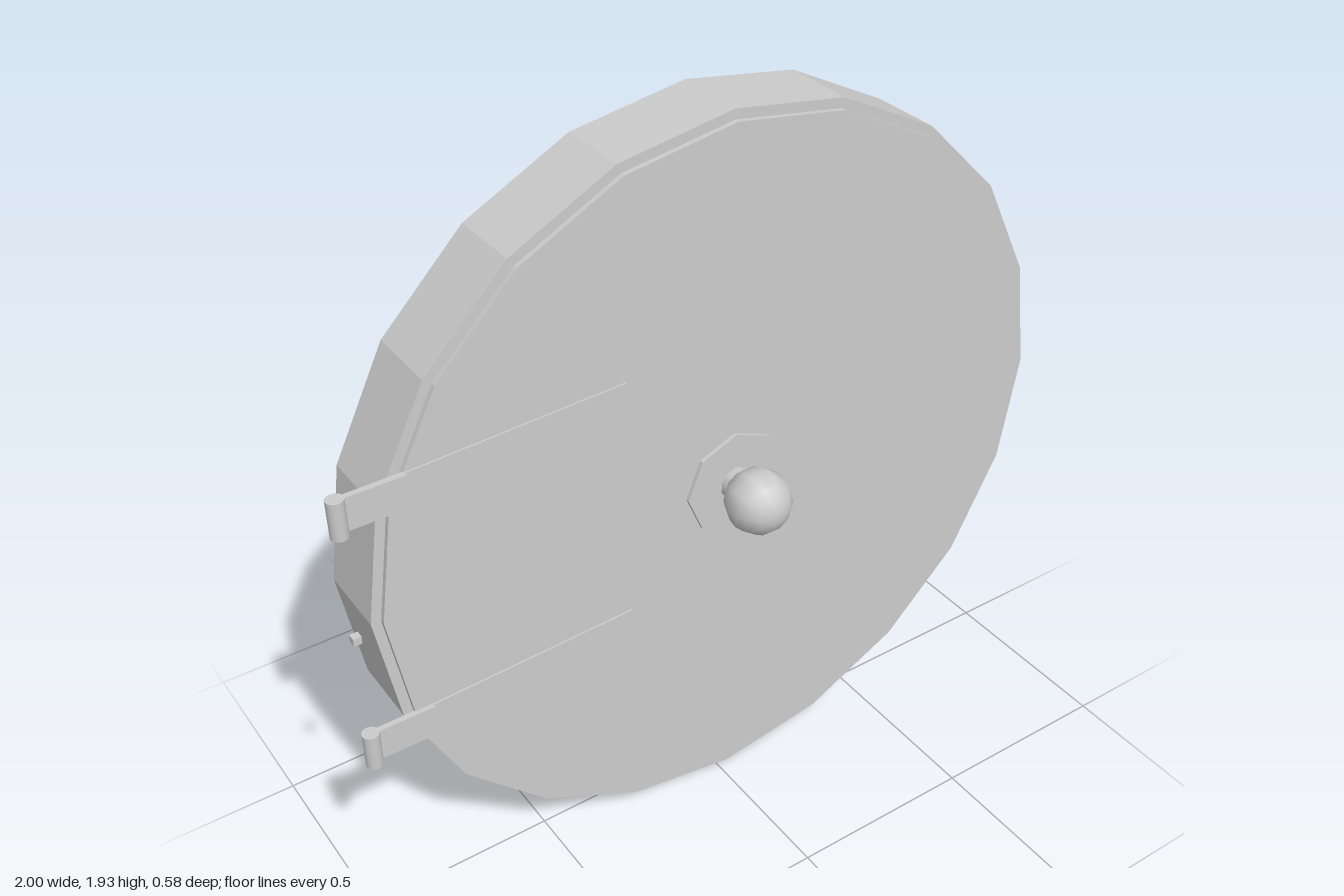
import * as THREE from 'three';

const CX = 0.033, CY = 0.97;

export function createModel() {
  const group = new THREE.Group();
  const flat = new THREE.MeshStandardMaterial({ color: 0xcccccc, flatShading: true });
  const smooth = new THREE.MeshStandardMaterial({ color: 0xcccccc });

  const add = (name, geometry, x, y, z, material = flat) => {
    const mesh = new THREE.Mesh(geometry, material);
    mesh.name = name;
    mesh.position.set(x, y, z);
    group.add(mesh);
    return mesh;
  };

  // Disc around the door's centre, spanning z0..z1, with a corner at the top
  const disc = (name, radius, sides, z0, z1, material) => {
    const g = new THREE.CylinderGeometry(radius, radius, z1 - z0, sides);
    g.rotateX(Math.PI / 2);
    return add(name, g, CX, CY, (z0 + z1) / 2, material);
  };

  // Door slab with slightly smaller raised panels on both faces
  disc('doorSlab', 0.965, 20, -0.101, 0.09);
  disc('frontPanel', 0.94, 20, 0, 0.103);
  disc('backPanel', 0.94, 20, -0.105, 0);

  // Knob, neck and octagonal plate on each side
  for (const [side, s] of [['front', 1], ['back', -1]]) {
    disc(side + 'KnobPlate', 0.14, 8, Math.min(0, s * 0.113), Math.max(0, s * 0.113));
    disc(side + 'KnobNeck', 0.045, 10, Math.min(s * 0.1, s * 0.17), Math.max(s * 0.1, s * 0.17), smooth);
    const ball = new THREE.SphereGeometry(0.084, 10, 10);
    ball.rotateX(Math.PI / 2);
    add(side + 'Knob', ball, CX, CY, s * 0.204, smooth);
  }

  // Strap outline: widens away from the hinge and ends in a point
  const strap = new THREE.Shape([
    [-0.97, -0.042], [-0.82, -0.043], [-0.27, -0.065],
    [-0.21, 0], [-0.27, 0.065], [-0.82, 0.043], [-0.97, 0.042],
  ].map(([x, y]) => new THREE.Vector2(x, y)));

  // Hinges: strap, raised leaf and upright barrel
  for (const [name, y] of [['upper', 1.299], ['lower', 0.641]]) {
    add(name + 'HingeStrap',
      new THREE.ExtrudeGeometry(strap, { depth: 0.008, bevelEnabled: false }), 0, y, 0.1);
    add(name + 'HingeLeaf', new THREE.BoxGeometry(0.16, 0.085, 0.009), -0.895, y, 0.1105);
    add(name + 'HingeBarrel', new THREE.CylinderGeometry(0.021, 0.021, 0.096, 12), -0.979, y, 0.114, smooth);
  }

  // Small pivot block between the hinges
  add('pivotBlock', new THREE.BoxGeometry(0.02, 0.02, 0.02), -0.979, CY, 0.114);

  return group;
}
